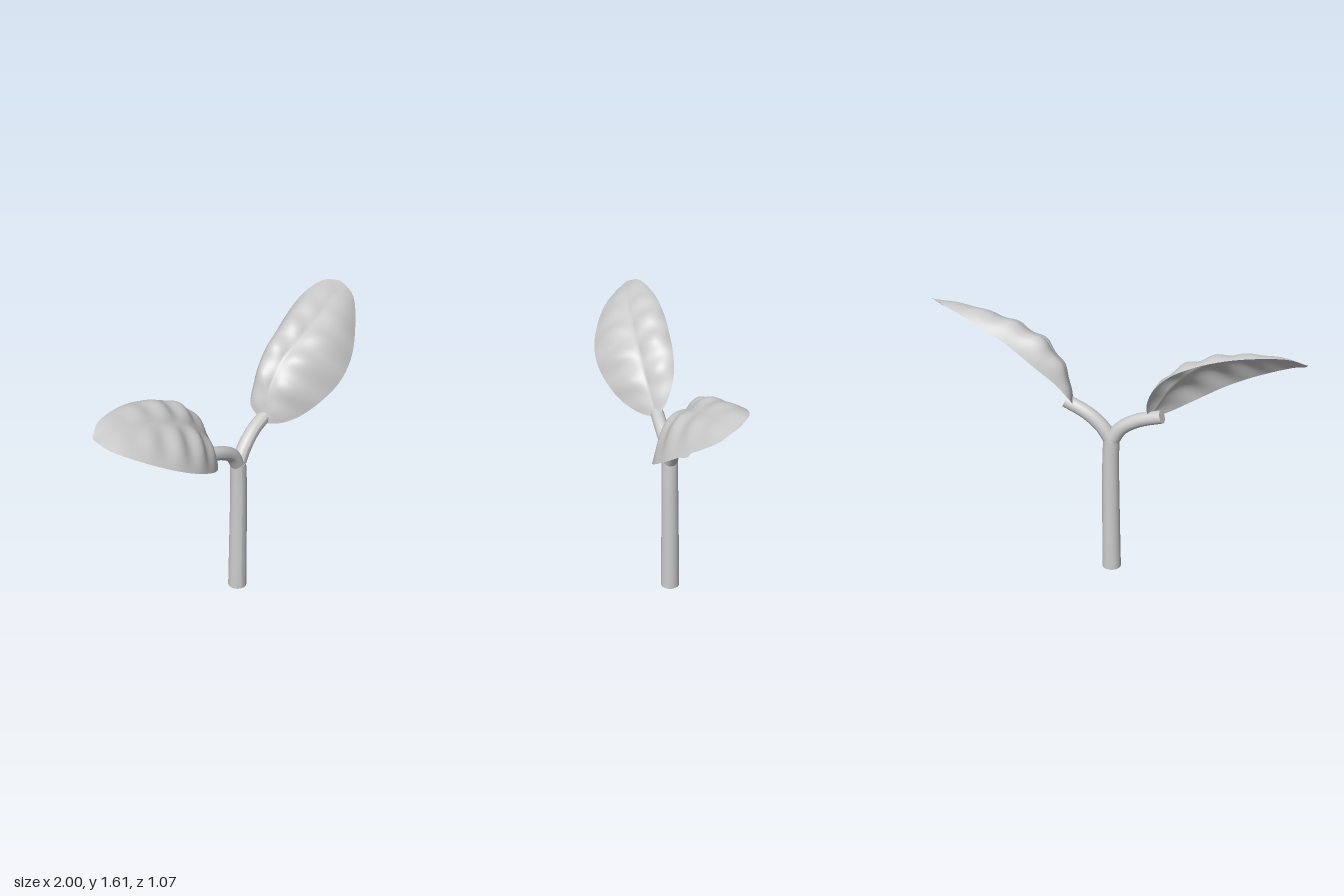
import * as THREE from 'three';

const plantGrey = new THREE.MeshStandardMaterial({ color: 0xcccccc, side: THREE.DoubleSide });
plantGrey.name = 'plantGrey';

const vec = (p) => new THREE.Vector3(...p);
const curve = (pts) => new THREE.CatmullRomCurve3(pts.map(vec));

function add(group, name, geometry) {
  const mesh = new THREE.Mesh(geometry, plantGrey);
  mesh.name = name;
  group.add(mesh);
  return mesh;
}

// Round limb along a path, tapering from r0 to r1, with closed ends
function limb(group, name, pts, r0, r1) {
  const path = curve(pts), steps = 16, sides = 16;
  const geo = new THREE.TubeGeometry(path, steps, 1, sides);
  const pos = geo.attributes.position, p = new THREE.Vector3();
  for (let i = 0; i < pos.count; i++) {
    const t = Math.floor(i / (sides + 1)) / steps;
    const c = path.getPointAt(t);
    p.fromBufferAttribute(pos, i).sub(c).multiplyScalar(r0 + (r1 - r0) * t).add(c);
    pos.setXYZ(i, p.x, p.y, p.z);
  }
  geo.computeVertexNormals();
  add(group, name, geo);
  [[0, r0, -1], [1, r1, 1]].forEach(([t, r, sign]) => {
    const cap = add(group, name + 'End', new THREE.CircleGeometry(r, sides));
    cap.position.copy(path.getPointAt(t));
    cap.quaternion.setFromUnitVectors(new THREE.Vector3(0, 0, 1),
      path.getTangentAt(t).multiplyScalar(sign));
  });
}

// Domed leaf blade spanned between two edges over a midrib, each half swelling
// into a lobe that is gently puckered between the side veins
function leaf(group, name, lowEdge, midrib, highEdge) {
  const [low, mid, high] = [lowEdge, midrib, highEdge].map(curve);
  const nu = 64, nv = 36, verts = [], index = [];
  for (let i = 0; i <= nu; i++) {
    const u = i / nu;
    const a = low.getPointAt(u), m = mid.getPointAt(u), b = high.getPointAt(u);
    const dome = m.clone().sub(a.clone().add(b).multiplyScalar(0.5));
    const normal = b.clone().sub(a).cross(mid.getTangentAt(u)).normalize();
    if (normal.y < 0) normal.negate();
    const fade = Math.sin(Math.PI * Math.pow(u, 0.75)) ** 2;
    for (let j = 0; j <= nv; j++) {
      const s = (j / nv) * 2 - 1, w = Math.abs(s);
      const p = a.clone().lerp(b, j / nv).addScaledVector(dome, 1 - Math.pow(w, 2.9));
      const lobe = Math.sin(Math.PI * w) * (0.014 + 0.011 * Math.sin((u - w * 0.03) * 38));
      const groove = -0.004 * Math.exp(-((s / 0.1) ** 2));
      p.addScaledVector(normal, fade * (lobe + groove));
      verts.push(p.x, p.y, p.z);
      if (i < nu && j < nv) {
        const k = i * (nv + 1) + j, n = k + nv + 1;
        index.push(k, n, k + 1, k + 1, n, n + 1);
      }
    }
  }
  // Keep the upper face as the front side
  const geo = new THREE.BufferGeometry();
  geo.setAttribute('position', new THREE.Float32BufferAttribute(verts, 3));
  geo.setIndex(index);
  geo.computeVertexNormals();
  const ny = geo.attributes.normal.getY((nu / 2) * (nv + 1) + nv / 2);
  if (ny < 0) {
    geo.setIndex(index.reverse());
    geo.computeVertexNormals();
  }
  add(group, name, geo);
}

export function createModel() {
  const plant = new THREE.Group();
  plant.name = 'seedling';

  // Stem and its two forking stalks
  limb(plant, 'stem', [[0.029, 0, -0.023], [0.034, 0.4, -0.023], [0.036, 0.72, -0.022], [0.031, 0.85, -0.021]], 0.055, 0.047);
  limb(plant, 'leftStalk', [[0.032, 0.84, -0.021], [0.085, 0.925, -0.047], [0.165, 0.998, -0.088], [0.275, 1.052, -0.138]], 0.043, 0.039);
  limb(plant, 'rightStalk', [[0.03, 0.84, -0.021], [-0.02, 0.925, 0.005], [-0.11, 0.988, 0.05], [-0.24, 1.035, 0.105]], 0.043, 0.038);

  // Leaf blades
  leaf(plant, 'leftLeaf',
    [[0.25, 1.01, -0.1], [0.32, 1.02, -0.05], [0.42, 1.05, -0.02], [0.55, 1.12, -0.005], [0.7, 1.2, -0.04],
      [0.82, 1.29, -0.12], [0.92, 1.4, -0.25], [1.0, 1.53, -0.42], [0.98, 1.58, -0.48]],
    [[0.24, 1.03, -0.11], [0.285, 1.215, -0.12], [0.39, 1.37, -0.155], [0.535, 1.455, -0.205], [0.69, 1.52, -0.29],
      [0.84, 1.565, -0.39], [0.975, 1.585, -0.49]],
    [[0.225, 1.04, -0.13], [0.2, 1.1, -0.19], [0.25, 1.2, -0.25], [0.33, 1.29, -0.315], [0.45, 1.4, -0.385],
      [0.57, 1.49, -0.45], [0.72, 1.57, -0.515], [0.87, 1.61, -0.54], [0.96, 1.6, -0.51]]);
  leaf(plant, 'rightLeaf',
    [[-0.17, 1.01, 0.1], [-0.2, 1.015, 0.19], [-0.27, 1.06, 0.32], [-0.4, 1.15, 0.45], [-0.52, 1.22, 0.51],
      [-0.66, 1.295, 0.53], [-0.83, 1.385, 0.51], [-0.94, 1.44, 0.46], [-0.998, 1.485, 0.405]],
    [[-0.17, 1.02, 0.085], [-0.25, 1.19, 0.155], [-0.38, 1.33, 0.225], [-0.55, 1.42, 0.295], [-0.72, 1.472, 0.345],
      [-0.87, 1.494, 0.378], [-1.0, 1.49, 0.397]],
    [[-0.165, 1.03, 0.065], [-0.2, 1.13, 0.02], [-0.27, 1.25, 0], [-0.36, 1.345, 0.02], [-0.46, 1.41, 0.055],
      [-0.6, 1.475, 0.11], [-0.76, 1.52, 0.19], [-0.94, 1.53, 0.315], [-0.998, 1.495, 0.385]]);

  return plant;
}
